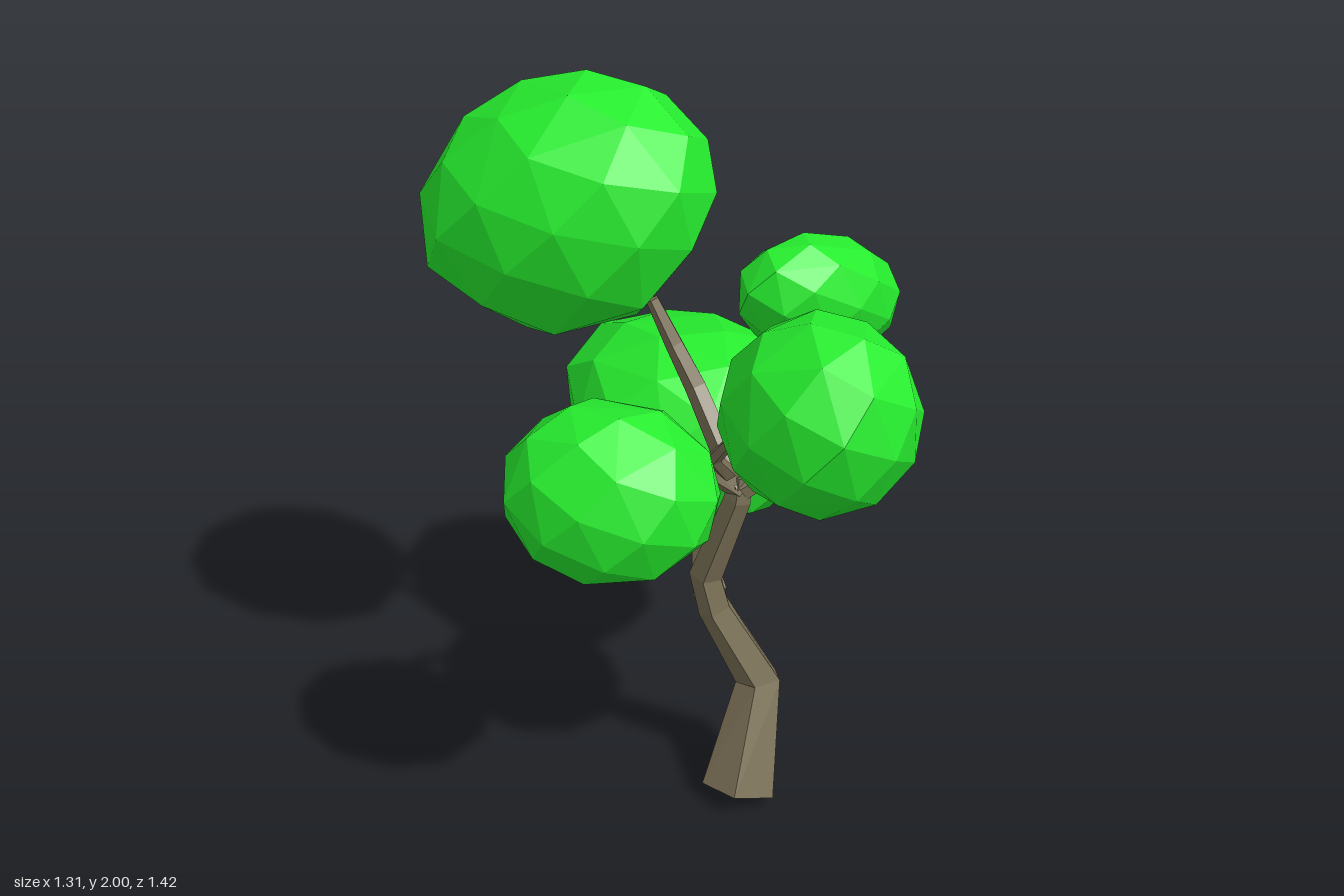
import * as THREE from 'three';
import { ConvexGeometry } from 'three/addons/geometries/ConvexGeometry.js';

const bark = new THREE.MeshStandardMaterial({ color: 0x7b7157, flatShading: true });
const leaf = new THREE.MeshStandardMaterial({ color: 0x26ec2e, flatShading: true });

// Tapered faceted limb lofted through nodes [x, y, z, radius], closed at both ends
function limb(name, nodes, sides = 5) {
  const pts = nodes.map(n => new THREE.Vector3(n[0], n[1], n[2]));
  const pos = [], idx = [], up = new THREE.Vector3(0, 1, 0);
  const last = pts.length - 1;
  pts.forEach((p, i) => {
    const tangent = pts[Math.min(i + 1, last)].clone().sub(pts[Math.max(i - 1, 0)]).normalize();
    const q = new THREE.Quaternion().setFromUnitVectors(up, tangent);
    for (let s = 0; s < sides; s++) {
      const a = (s / sides) * Math.PI * 2 + 0.3, r = nodes[i][3];
      const v = new THREE.Vector3(Math.sin(a) * r, 0, Math.cos(a) * r).applyQuaternion(q).add(p);
      pos.push(v.x, Math.max(0, v.y), v.z);
      if (i < last) {
        const b = i * sides + s, c = i * sides + (s + 1) % sides;
        idx.push(b, c, c + sides, b, c + sides, b + sides);
      }
    }
  });
  for (let s = 1; s < sides - 1; s++) {
    const t = last * sides;
    idx.push(0, s + 1, s, t, t + s, t + s + 1);
  }
  const g = new THREE.BufferGeometry();
  g.setAttribute('position', new THREE.Float32BufferAttribute(pos, 3));
  g.setIndex(idx);
  g.computeVertexNormals();
  const m = new THREE.Mesh(g, bark);
  m.name = name;
  return m;
}

// Faceted leaf clump: spread points on a sphere, pulled towards peaks
// [x, y, z, pull], sheared, fitted to the box min..max, wrapped in a hull
function clump({ name, min, max, shear: [yx, yz, xz], peaks = [], count = 42, turn = 0 }) {
  const box = new THREE.Box3(), pts = [];
  for (let i = 0; i < count; i++) {
    const y = 1 - (2 * i + 1) / count, r = Math.sqrt(1 - y * y), a = i * 2.39996 + turn;
    const unit = new THREE.Vector3(Math.cos(a) * r, y, Math.sin(a) * r), v = unit.clone();
    for (const [px, py, pz, pull] of peaks) {
      const dir = new THREE.Vector3(px, py, pz).normalize();
      v.addScaledVector(dir, pull * Math.max(0, unit.dot(dir)) ** 4);
    }
    v.set(v.x + xz * v.z, v.y + yx * v.x + yz * v.z, v.z);
    pts.push(v);
    box.expandByPoint(v);
  }
  const lo = new THREE.Vector3(...min), size = new THREE.Vector3(...max).sub(lo);
  const span = box.getSize(new THREE.Vector3());
  pts.forEach(v => v.sub(box.min).divide(span).multiply(size).add(lo));
  const m = new THREE.Mesh(new ConvexGeometry(pts), leaf);
  m.name = name;
  return m;
}

export function createModel() {
  const tree = new THREE.Group();
  tree.name = 'tree';

  // Trunk and branches
  const wood = new THREE.Group();
  wood.name = 'wood';
  wood.add(
    limb('trunk', [[0.0, 0.03, 0.205, 0.106], [0.12, 0.325, 0.16, 0.066], [0.035, 0.56, 0.07, 0.048],
      [0.02, 0.67, 0.05, 0.047], [0.04, 0.94, 0.145, 0.038], [0.045, 1.01, 0.15, 0.03]]),
    limb('lowerBranch', [[0.03, 0.6, 0.06, 0.05], [0.075, 0.655, -0.01, 0.036], [0.13, 0.72, -0.09, 0.022], [0.22, 0.82, -0.18, 0.015]]),
    limb('leftBranch', [[0.045, 0.97, 0.15, 0.036], [-0.06, 1.07, 0.06, 0.032], [-0.19, 1.16, 0.03, 0.022], [-0.34, 1.18, 0.06, 0.015]]),
    limb('backBranch', [[0.04, 0.97, 0.15, 0.036], [0.06, 1.19, -0.03, 0.03], [0.04, 1.3, -0.09, 0.025], [0.01, 1.42, -0.14, 0.018]]),
    limb('rightBranch', [[0.04, 0.97, 0.15, 0.036], [0.16, 1.05, 0.22, 0.034], [0.28, 1.14, 0.29, 0.031],
      [0.32, 1.19, 0.28, 0.025], [0.34, 1.29, 0.25, 0.015]]),
    limb('frontTwig', [[0.29, 1.14, 0.29, 0.026], [0.25, 1.2, 0.325, 0.022], [0.2, 1.25, 0.345, 0.014]]),
    limb('frontBranch', [[0.02, 1.01, 0.13, 0.024], [-0.06, 1.1, 0.155, 0.02], [-0.07, 1.2, 0.24, 0.014]]),
  );
  tree.add(wood);

  // Leaf clumps
  const crown = new THREE.Group();
  crown.name = 'crown';
  [
    { name: 'topClump', min: [-0.455, 1.36, -0.64], max: [0.19, 2.0, 0.07], shear: [0.08, 0.12, 0.15],
      peaks: [[-0.7, -0.5, -0.7, 0.12], [-0.2, -1, 0.3, 0.2]], count: 48 },
    { name: 'backClump', min: [-0.03, 0.61, -0.71], max: [0.655, 1.19, 0.07], shear: [-0.08, -0.04, 0],
      peaks: [[-0.25, 0.2, -1, 0.16], [0.35, 0.2, -1, 0.18], [0.4, -1, 0, 0.08]], count: 48, turn: 1 },
    { name: 'leftClump', min: [-0.655, 0.94, -0.08], max: [-0.19, 1.38, 0.42], shear: [0, 0, 0.15], turn: 2 },
    { name: 'frontClump', min: [-0.24, 1.05, 0.17], max: [0.25, 1.565, 0.71], shear: [-0.06, 0.12, -0.08],
      peaks: [[-0.6, 0, 0.7, 0.06]], turn: 3 },
    { name: 'rightClump', min: [0.13, 1.19, -0.07], max: [0.64, 1.57, 0.26], shear: [-0.36, 0.08, 0.05], turn: 4 },
  ].forEach(c => crown.add(clump(c)));
  tree.add(crown);
  return tree;
}
